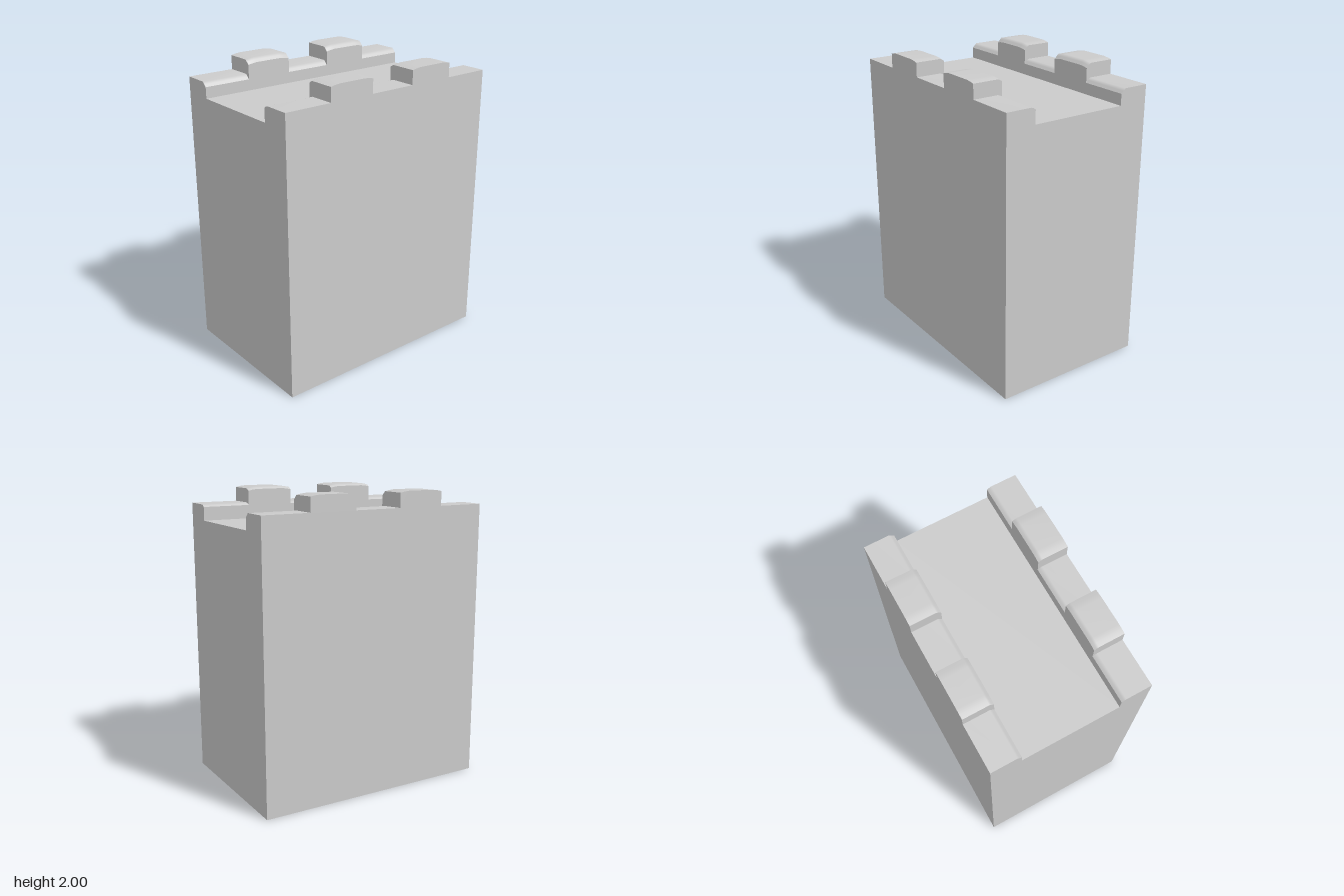
import * as THREE from 'three';

const W = 0.81, D = 0.535, INNER = 0.33, FLOOR = 1.79, LOW = 1.895;
const material = new THREE.MeshStandardMaterial({ color: 0xcccccc, side: THREE.DoubleSide });

// Top line along x: five runs, low gaps alternating with slightly domed raised blocks
const low = (a, b) => [[a, LOW], [b, LOW]];
const raised = (a, b) => [[a, 1.99], [a + 0.03, 1.996], [a + 0.065, 2], [b - 0.065, 2], [b - 0.03, 1.996], [b, 1.99]];
const runs = [low(-W, -0.485), raised(-0.485, -0.163), low(-0.163, 0.163), raised(0.163, 0.485), low(0.485, W)];

// Rim cross-sections [z, drop below the top line], from outer face to inner edge
const rims = {
  front: [[D, 0], [0.36, 0], [0.345, -0.005], [INNER, -0.015]],
  back: [[-D, 0], [-0.36, 0], [-0.345, -0.015], [-INNER, -0.03]],
};

// Flat polygon in its own plane, turned about y and then moved
function panel(points, turn, x, z) {
  const shape = new THREE.Shape(points.map(([u, v]) => new THREE.Vector2(u, v)));
  return new THREE.ShapeGeometry(shape).rotateY(turn).translate(x, 0, z);
}

// Smooth surface of one run of the top line swept across a rim cross-section
function rimTop(run, rim) {
  const rows = rim[0][0] > 0 ? rim : [...rim].reverse();
  const n = run.length, positions = [], index = [];
  rows.forEach(([z, drop]) => run.forEach(([x, y]) => positions.push(x, y + drop, z)));
  for (let r = 0; r < rows.length - 1; r++) {
    for (let c = 0; c < n - 1; c++) {
      const a = r * n + c;
      index.push(a, a + 1, a + n + 1, a, a + n + 1, a + n);
    }
  }
  const g = new THREE.BufferGeometry();
  g.setAttribute('position', new THREE.Float32BufferAttribute(positions, 3));
  g.setIndex(index);
  g.computeVertexNormals();
  return g;
}

export function createModel() {
  const model = new THREE.Group();
  const add = (name, geometry, parent = model) => {
    const mesh = new THREE.Mesh(geometry, material);
    mesh.name = name;
    parent.add(mesh);
  };
  const line = runs.flat();

  // Outer front and back walls with the notched top line
  const wall = [[-W, 0], [W, 0], ...[...line].reverse()];
  add('frontWall', panel(wall, 0, 0, D));
  add('backWall', panel(wall, Math.PI, 0, -D));

  // Side walls: channel-shaped upper edge, open at the bottom
  const side = [
    [D, 0], ...rims.front.map(([z, d]) => [z, LOW + d]), [INNER, FLOOR], [-INNER, FLOOR],
    ...[...rims.back].reverse().map(([z, d]) => [z, LOW + d]), [-D, 0],
  ];
  add('leftWall', panel(side.map(([z, y]) => [-z, y]), Math.PI / 2, W, 0));
  add('rightWall', panel(side, -Math.PI / 2, -W, 0));

  // Recessed top floor
  add('topFloor', new THREE.PlaneGeometry(2 * W, 2 * INNER).rotateX(-Math.PI / 2).translate(0, FLOOR, 0));

  // Raised rims along the front and back edges
  for (const [name, rim] of Object.entries(rims)) {
    const group = new THREE.Group();
    group.name = name + 'Rim';
    model.add(group);
    const [edgeZ, edgeDrop] = rim[rim.length - 1];

    // Vertical inner face of the rim
    const inner = [[-W, FLOOR], [W, FLOOR], ...[...line].reverse().map(([x, y]) => [x, y + edgeDrop])];
    add('innerFace', panel(inner, name === 'front' ? Math.PI : 0, 0, edgeZ), group);

    runs.forEach((run, i) => {
      const isRaised = i % 2 === 1;
      add(isRaised ? 'raisedBlockTop' : 'rimTop', rimTop(run, rim), group);
      if (!isRaised) return;
      // Upright ends of each raised block
      const end = [...rim.map(([z, d]) => [z, LOW + d]), ...[...rim].reverse().map(([z, d]) => [z, 1.99 + d])];
      add('raisedBlockEnd', panel(end, -Math.PI / 2, run[0][0], 0), group);
      add('raisedBlockEnd', panel(end.map(([z, y]) => [-z, y]), Math.PI / 2, run[run.length - 1][0], 0), group);
    });
  }
  return model;
}
